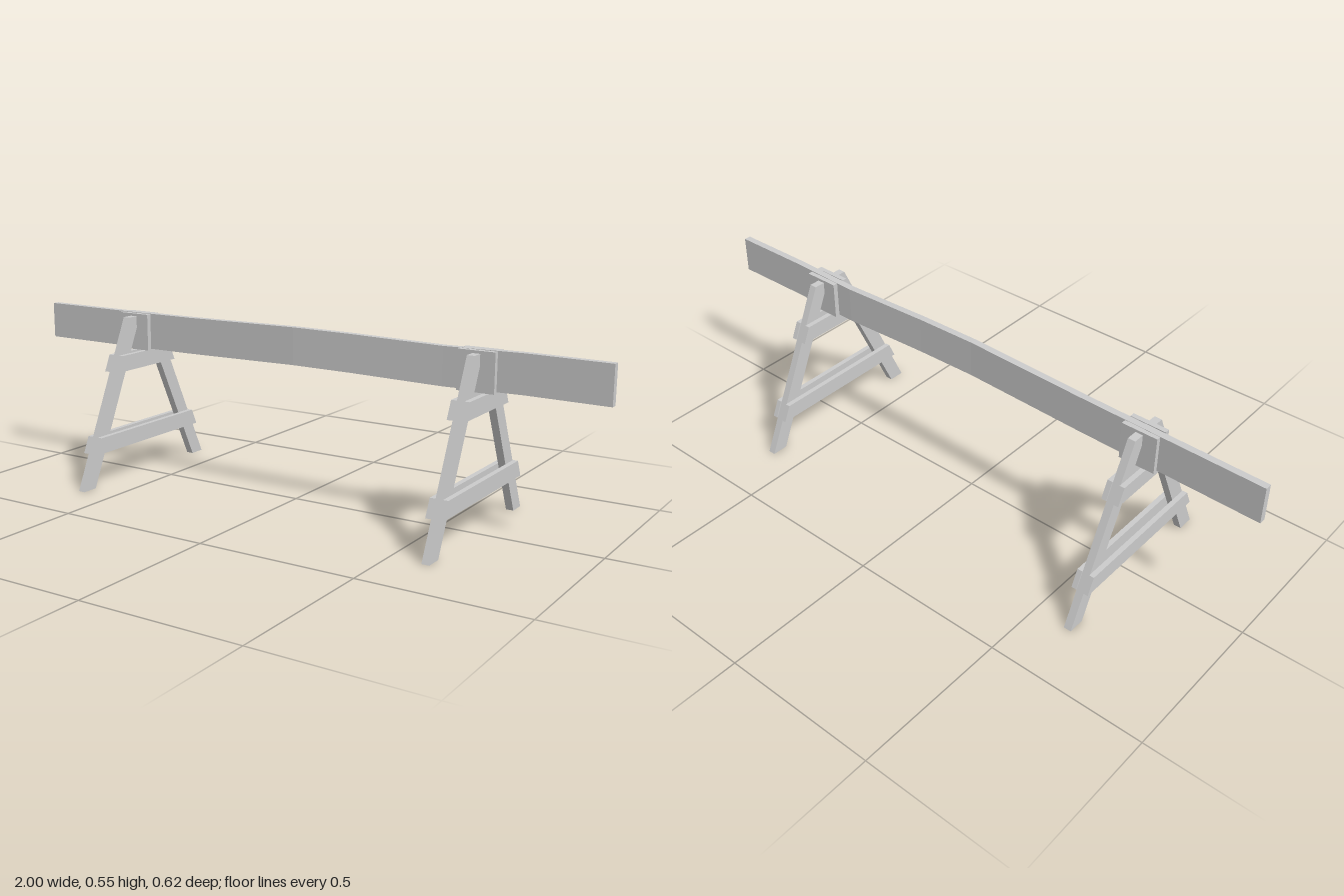
import * as THREE from 'three';

const material = new THREE.MeshStandardMaterial({ color: 0xcccccc, flatShading: true });

// Extrude a (z, y) outline along x, between x0 and x1
function plank(name, outline, x0, x1) {
  const shape = new THREE.Shape(outline.map(([z, y]) => new THREE.Vector2(-z, y)));
  const geometry = new THREE.ExtrudeGeometry(shape, { depth: x1 - x0, bevelEnabled: false });
  geometry.rotateY(Math.PI / 2).translate(x0, 0, 0);
  const mesh = new THREE.Mesh(geometry, material);
  mesh.name = name;
  return mesh;
}

// Outer edge of the sloping legs at height y
const legEdge = (y) => 0.31 - 0.4623 * y;

function trestle(name, x) {
  const group = new THREE.Group();
  group.name = name;
  group.position.x = x;
  const legHalf = 0.012, boardThickness = 0.016, legWidth = 0.053, top = 0.532;

  for (const s of [1, -1]) {
    // Sloping legs, front and back
    group.add(plank(s > 0 ? 'frontLeg' : 'backLeg', [
      [s * legEdge(0), 0], [s * (legEdge(0) - legWidth), 0],
      [s * (legEdge(top) - legWidth), top], [s * legEdge(top), top],
    ], -legHalf, legHalf));

    // Cheek blocks that clamp the beam
    const cheek = new THREE.Mesh(new THREE.BoxGeometry(0.115, 0.119, 0.016), material);
    cheek.name = s > 0 ? 'frontCheek' : 'backCheek';
    cheek.position.set(0, 0.481, s * 0.0205);
    group.add(cheek);

    // Paired cross boards on both faces of the legs
    for (const [label, y0, y1] of [['lowerCrossBoard', 0.113, 0.165], ['upperCrossBoard', 0.363, 0.415]]) {
      const a = legEdge(y0) + 0.004, b = legEdge(y1) + 0.004;
      const x0 = s > 0 ? legHalf : -legHalf - boardThickness;
      group.add(plank(label, [[a, y0], [b, y1], [-b, y1], [-a, y0]], x0, x0 + boardThickness));
    }
  }
  return group;
}

// Slightly warped long beam: stations of [x, centre y, centre z]
function beam() {
  const stations = [
    [-1, 0.483, -0.009], [-0.6, 0.483, -0.002], [-0.4, 0.484, 0.001], [0, 0.49, 0.007],
    [0.2, 0.488, 0.005], [0.5, 0.481, -0.001], [0.75, 0.485, 0], [1, 0.483, 0.001],
  ];
  const geometry = new THREE.BoxGeometry(2, 0.117, 0.022, stations.length - 1, 1, 1);
  const p = geometry.attributes.position;
  for (let i = 0; i < p.count; i++) {
    const k = Math.round((p.getX(i) + 1) / 2 * (stations.length - 1));
    const [x, y, z] = stations[k];
    p.setXYZ(i, x, p.getY(i) + y, p.getZ(i) + z);
  }
  geometry.computeVertexNormals();
  const mesh = new THREE.Mesh(geometry, material);
  mesh.name = 'beam';
  return mesh;
}

export function createModel() {
  const model = new THREE.Group();
  model.name = 'trestleBarrier';
  model.add(beam(), trestle('rightTrestle', -0.618), trestle('leftTrestle', 0.612));
  return model;
}
